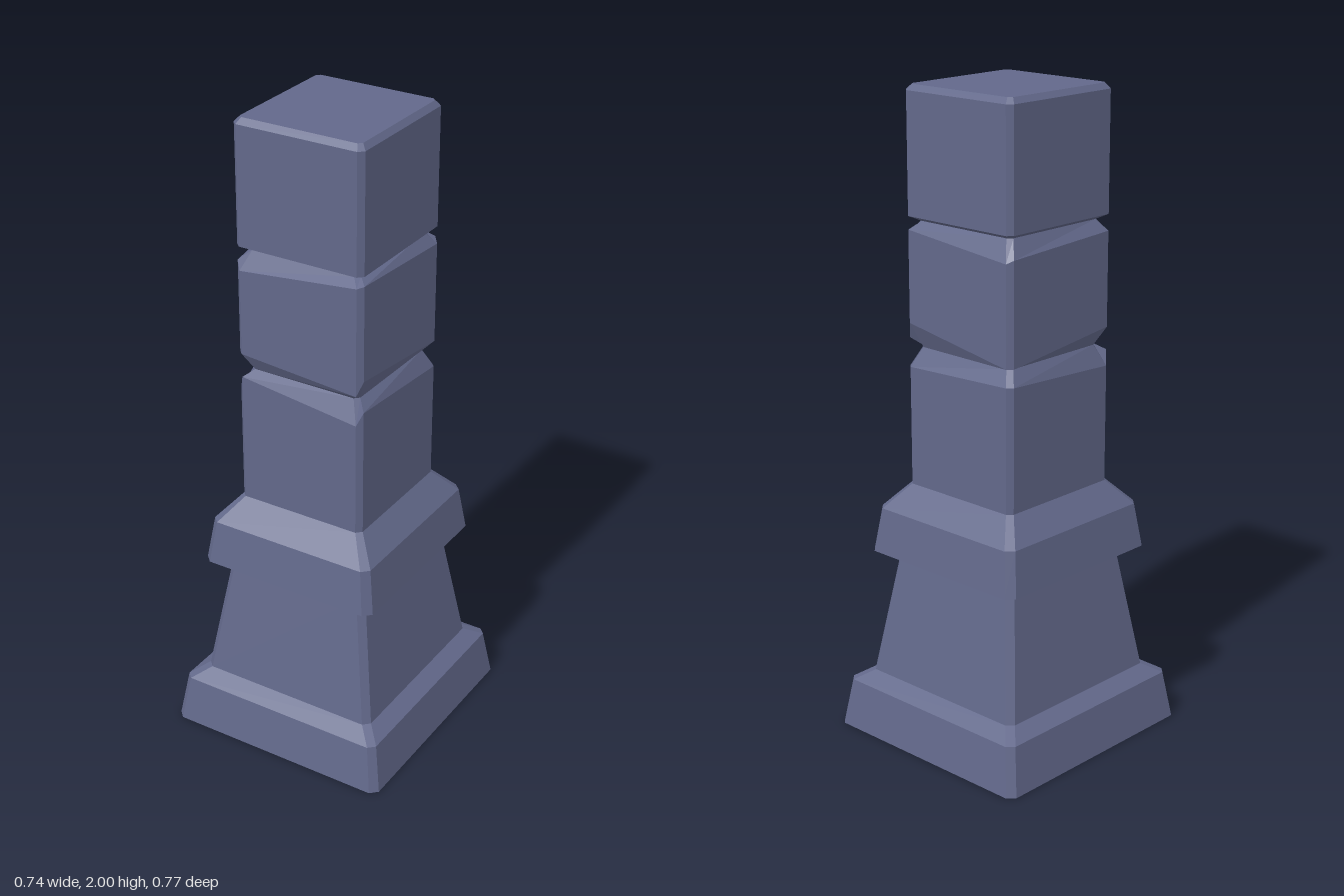
import * as THREE from 'three';

const material = new THREE.MeshStandardMaterial({ color: 0x62688a, flatShading: true });

// Rectangle with cut corners; y is one height or one height per corner
// (order: front, right, back, left edge, two corners each).
function ring([y, hx, hz, c]) {
  const outline = [
    [-hx + c, hz], [hx - c, hz], [hx, hz - c], [hx, -hz + c],
    [hx - c, -hz], [-hx + c, -hz], [-hx, -hz + c], [-hx, hz - c],
  ];
  return outline.map(([x, z], i) => [x, Array.isArray(y) ? y[i] : y, z]);
}

// Closed, faceted solid through a stack of rings from bottom to top.
function stack(name, sections) {
  const rings = sections.map(ring);
  const pos = [];
  const tri = (a, b, c) => pos.push(...a, ...b, ...c);
  for (let r = 0; r < rings.length - 1; r++) {
    const lo = rings[r], hi = rings[r + 1];
    for (let i = 0; i < 8; i++) {
      const j = (i + 1) % 8;
      tri(lo[i], lo[j], hi[j]);
      tri(lo[i], hi[j], hi[i]);
    }
  }
  const bottom = rings[0], top = rings[rings.length - 1];
  for (let i = 1; i < 7; i++) {
    tri(bottom[0], bottom[i + 1], bottom[i]);
    tri(top[0], top[i], top[i + 1]);
  }
  const geometry = new THREE.BufferGeometry();
  geometry.setAttribute('position', new THREE.Float32BufferAttribute(pos, 3));
  geometry.computeVertexNormals();
  const mesh = new THREE.Mesh(geometry, material);
  mesh.name = name;
  return mesh;
}

export function createModel() {
  const group = new THREE.Group();
  group.name = 'stonePillar';

  // Half sizes and corner cuts shared by the shaft blocks and their joints
  const shaft = [0.21, 0.218, 0.016];
  const joint = [0.182, 0.188, 0.014];

  // Uneven chipped edges around the joints
  const lowerChip = [1.205, 1.155, 1.195, 1.165, 1.165, 1.18, 1.18, 1.16];
  const middleChipBottom = [1.28, 1.25, 1.295, 1.25, 1.3, 1.235, 1.235, 1.28];
  const middleChipTop = [1.545, 1.585, 1.59, 1.565, 1.58, 1.54, 1.55, 1.57];

  group.add(
    // Sloped foot with bevelled top
    stack('plinth', [
      [0, 0.37, 0.383, 0.022],
      [0.15, 0.346, 0.36, 0.02],
      [0.183, 0.297, 0.309, 0.02],
    ]),
    // Tapered pedestal
    stack('pedestal', [
      [0.183, 0.297, 0.309, 0.02],
      [0.582, 0.236, 0.246, 0.02],
    ]),
    // Overhanging collar
    stack('collar', [
      [0.582, 0.296, 0.308, 0.024],
      [0.72, 0.276, 0.288, 0.022],
      [0.797, ...shaft],
    ]),
    // Three shaft blocks
    stack('lowerBlock', [
      [0.797, ...shaft],
      [lowerChip, ...shaft],
      [1.225, ...joint],
    ]),
    stack('middleBlock', [
      [1.225, ...joint],
      [middleChipBottom, ...shaft],
      [middleChipTop, ...shaft],
      [1.605, ...joint],
    ]),
    stack('upperBlock', [
      [1.605, ...joint],
      [1.62, ...shaft],
      [1.983, ...shaft],
      [2, 0.196, 0.202, 0.011],
    ]),
  );
  return group;
}
